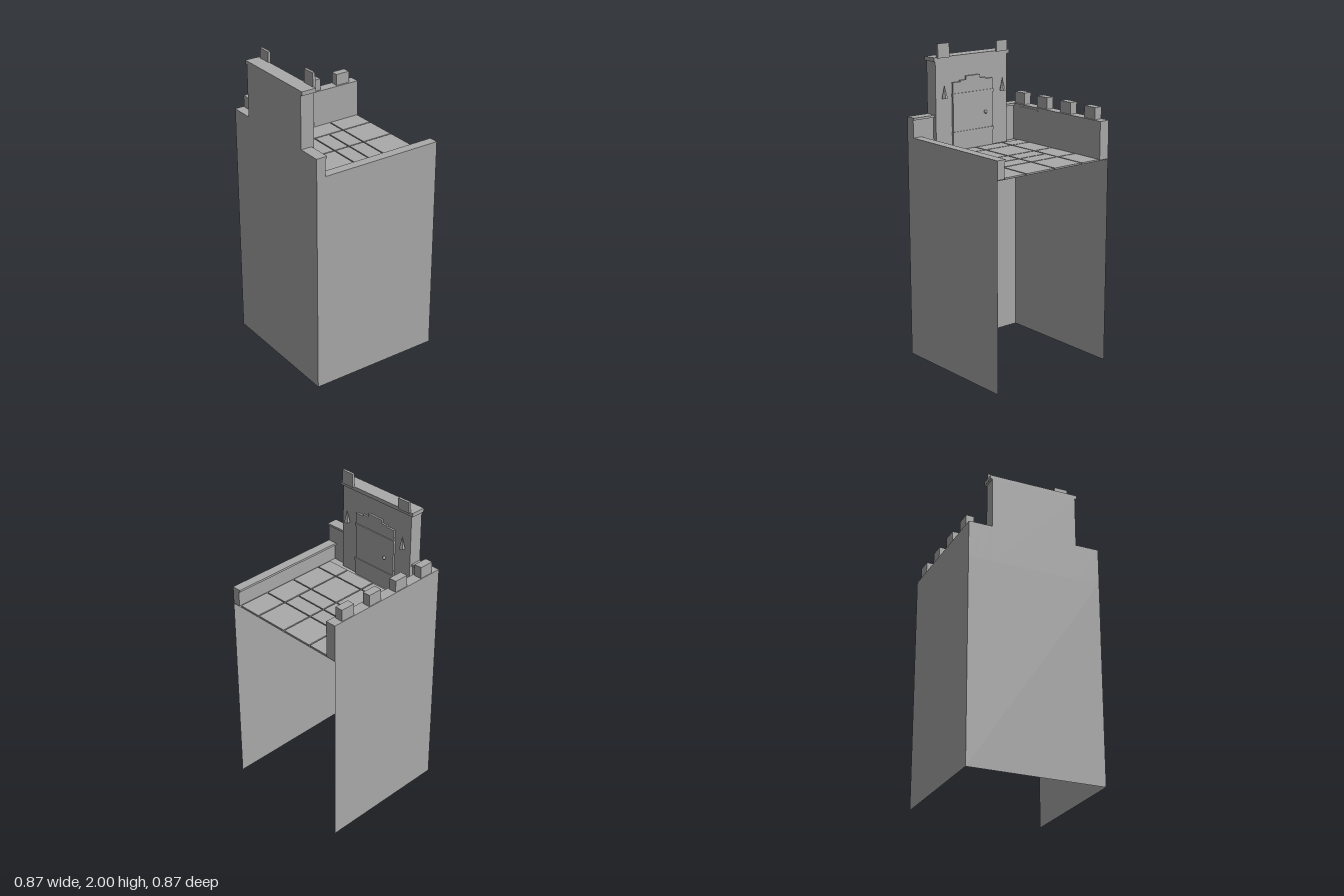
import * as THREE from 'three';

export function createModel() {
  const model = new THREE.Group();
  const stone = new THREE.MeshStandardMaterial({ color: 0xaaaaaa, side: THREE.DoubleSide });
  stone.name = 'grey stone';

  const add = (name, geometry, x = 0, y = 0, z = 0) => {
    const mesh = new THREE.Mesh(geometry, stone);
    mesh.name = name;
    mesh.position.set(x, y, z);
    model.add(mesh);
    return mesh;
  };
  // Box given by its limits on each axis
  const block = (name, x0, x1, y0, y1, z0, z1) =>
    add(name, new THREE.BoxGeometry(x1 - x0, y1 - y0, z1 - z0),
      (x0 + x1) / 2, (y0 + y1) / 2, (z0 + z1) / 2);

  const H = 0.437, FLOOR = 1.315;

  // Thin tower walls, open at the bottom and on the +x side
  add('frontTowerWall', new THREE.PlaneGeometry(2 * H, FLOOR), 0, FLOOR / 2, H);
  add('backTowerWall', new THREE.PlaneGeometry(2 * H, FLOOR), 0, FLOOR / 2, -H).rotation.y = Math.PI;
  add('sideTowerWall', new THREE.PlaneGeometry(2 * H, FLOOR), -H, FLOOR / 2, 0).rotation.y = -Math.PI / 2;

  // Floor sheet and raised paving slabs with narrow joints
  add('floor', new THREE.PlaneGeometry(2 * H, 2 * H), 0, FLOOR - 0.004, 0).rotation.x = -Math.PI / 2;
  const wide = [-0.327, -0.218, -0.001, 0.218, 0.435];
  const split = [-0.327, -0.218, -0.001, 0.108, 0.218, 0.435];
  const rows = [[-0.368, -0.221, wide], [-0.221, -0.004, split], [-0.004, 0.217, split], [0.217, 0.38, wide]];
  for (const [z0, z1, xs] of rows) {
    for (let i = 0; i < xs.length - 1; i++) {
      block('floorSlab', xs[i] + 0.004, xs[i + 1] - 0.004, FLOOR - 0.004, 1.32, z0 + 0.004, z1 - 0.004);
    }
  }

  // Low front parapet with a small inner lip
  block('frontParapet', -0.375, H, FLOOR, 1.43, 0.385, H);
  block('frontParapetLip', -0.375, H, 1.416, 1.43, 0.375, 0.385);

  // Back parapet with four merlons
  block('backParapet', -H, H, FLOOR, 1.555, -H, -0.367);
  block('backParapetLip', -0.305, -0.137, 1.53, 1.54, -0.367, -0.363);
  for (const x of [-0.329, -0.111, 0.108, 0.328]) {
    block('merlon', x - 0.048, x + 0.048, 1.555, 1.63, -0.432, -0.38);
  }

  // Side parapets on both sides of the gatehouse
  for (const [z0, z1] of [[0.283, H], [-0.367, -0.283]]) {
    block('sideParapet', -H, -0.375, FLOOR, 1.555, z0, z1);
    block('sideParapetLip', -0.375, -0.365, 1.541, 1.555, z0, z1);
  }

  // Gatehouse with coping and two thin merlons
  block('gatehouse', -H, -0.348, FLOOR, 1.89, -0.283, 0.283);
  block('gatehouseCoping', -H, -0.341, 1.89, 1.915, -0.297, 0.297);
  block('tallMerlon', -0.348, -0.331, 1.91, 2.0, 0.187, 0.275);
  block('tallMerlon', -0.348, -0.331, 1.91, 1.98, -0.275, -0.187);

  // Door with a stepped head and cross bands
  const half = [[0.158, FLOOR], [0.158, 1.748], [0.1, 1.748], [0.1, 1.757], [0.055, 1.757], [0.055, 1.78]];
  const outline = [...half, ...half.map(([z, y]) => [-z, y]).reverse()];
  const shape = new THREE.Shape(outline.map(([z, y]) => new THREE.Vector2(z, y)));
  add('door', new THREE.ExtrudeGeometry(shape, { depth: 0.013, bevelEnabled: false }), -0.348, 0, 0)
    .rotation.y = Math.PI / 2;
  for (const y of [1.425, 1.668]) block('doorBand', -0.348, -0.33, y - 0.01, y + 0.01, -0.162, 0.162);

  // Door knob
  add('doorKnob', new THREE.SphereGeometry(0.011, 10, 8), -0.325, 1.537, -0.092);

  // Pointed wall lamps
  for (const z of [-0.232, 0.23]) {
    add('wallLamp', new THREE.ConeGeometry(0.02, 0.083, 5).toNonIndexed(), -0.328, 1.7, z)
      .geometry.computeVertexNormals();
  }

  return model;
}
